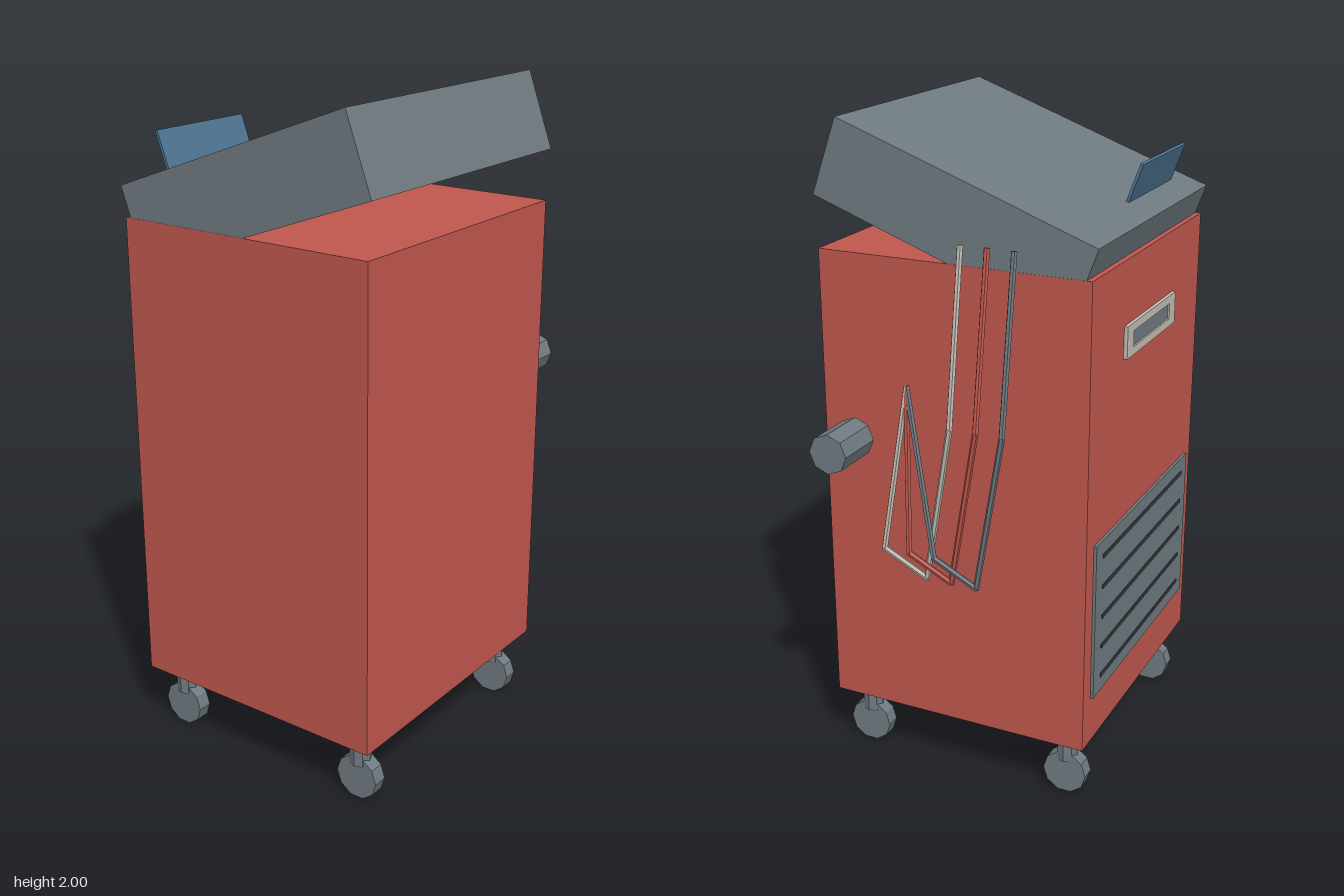
import * as THREE from 'three';

const mat = (name, color) => {
  const m = new THREE.MeshStandardMaterial({ color, flatShading: true });
  m.name = name;
  return m;
};

export function createModel() {
  const red = mat('red', 0xc0574e);
  const grey = mat('slate grey', 0x6f7a80);
  const dark = mat('dark grey', 0x353d41);
  const pale = mat('pale grey', 0xc4bfb4);
  const blue = mat('blue', 0x4f7593);

  const model = new THREE.Group();
  model.name = 'wheeledCabinet';

  const add = (parent, name, geometry, material, x, y, z) => {
    const mesh = new THREE.Mesh(geometry, material);
    mesh.name = name;
    mesh.position.set(x, y, z);
    parent.add(mesh);
    return mesh;
  };
  const box = (parent, name, material, size, pos) =>
    add(parent, name, new THREE.BoxGeometry(...size), material, ...pos);

  // Cabinet body and its tilted lid, sunk into the body at the back
  const tilt = -THREE.MathUtils.degToRad(20);
  box(model, 'body', red, [0.89, 1.43, 0.835], [-0.1, 0.915, 0.0025]);
  box(model, 'lid', grey, [0.888, 0.234, 0.83], [-0.1, 1.75, 0]).rotation.x = tilt;
  box(model, 'lidTab', blue, [0.36, 0.16, 0.009], [-0.26, 1.785, -0.358]).rotation.x = tilt;

  // Handle on the back: a pale frame round a grey plate
  const frame = new THREE.Shape();
  frame.moveTo(-0.2, -0.048).lineTo(0.2, -0.048).lineTo(0.2, 0.048).lineTo(-0.2, 0.048).closePath();
  const hole = new THREE.Path();
  hole.moveTo(-0.15, -0.024).lineTo(-0.15, 0.024).lineTo(0.15, 0.024).lineTo(0.15, -0.024).closePath();
  frame.holes.push(hole);
  add(model, 'handleFrame', new THREE.ExtrudeGeometry(frame, { depth: 0.011, bevelEnabled: false }),
    pale, -0.1, 1.393, -0.426);
  box(model, 'handlePlate', grey, [0.3, 0.048, 0.006], [-0.1, 1.393, -0.418]);

  // Vent on the back with dark slots
  box(model, 'ventPanel', grey, [0.78, 0.495, 0.009], [-0.1, 0.598, -0.4195]);
  for (let i = 0; i < 5; i++) {
    box(model, 'ventSlot', dark, [0.68, 0.012, 0.006], [-0.1, 0.403 + i * 0.098, -0.424]);
  }

  // Knob standing off the left side
  const knob = new THREE.CylinderGeometry(0.06, 0.06, 0.155, 8).rotateZ(Math.PI / 2);
  add(model, 'knob', knob, grey, 0.4625, 1.093, 0.297);

  // Four casters
  const stemGeo = new THREE.CylinderGeometry(0.016, 0.016, 0.04, 8);
  const forkGeo = new THREE.CylinderGeometry(0.033, 0.033, 0.06, 8);
  const wheelGeo = new THREE.CylinderGeometry(0.069, 0.069, 0.045, 10).rotateZ(Math.PI / 2);
  for (const x of [-0.468, 0.265]) {
    for (const z of [-0.335, 0.342]) {
      const caster = new THREE.Group();
      caster.name = 'caster';
      caster.position.set(x, 0, z);
      add(caster, 'casterStem', stemGeo, grey, 0, 0.183, 0);
      add(caster, 'casterFork', forkGeo, grey, 0, 0.14, 0);
      add(caster, 'casterWheel', wheelGeo, grey, 0, 0.069, 0);
      model.add(caster);
    }
  }

  // Three bent hoses, meeting at their free ends near the knob
  const up = new THREE.Vector3(0, 1, 0);
  const hoses = [['paleHose', pale, -0.04], ['redHose', red, -0.12], ['greyHose', grey, -0.2]];
  for (const [name, material, z] of hoses) {
    const hose = new THREE.Group();
    hose.name = name;
    const points = [
      [0.366, 1.69, z], [0.444, 1.19, z], [0.406, 0.697, z + 0.1],
      [0.467, 0.8, z + 0.203], [0.428, 1.29, 0.1],
    ].map((p) => new THREE.Vector3(...p));
    for (let i = 0; i < points.length - 1; i++) {
      const along = points[i + 1].clone().sub(points[i]);
      const mid = points[i].clone().addScaledVector(along, 0.5);
      const geo = new THREE.CylinderGeometry(0.009, 0.009, along.length() + 0.006, 6);
      add(hose, name + 'Segment', geo, material, mid.x, mid.y, mid.z)
        .quaternion.setFromUnitVectors(up, along.normalize());
    }
    model.add(hose);
  }

  return model;
}
